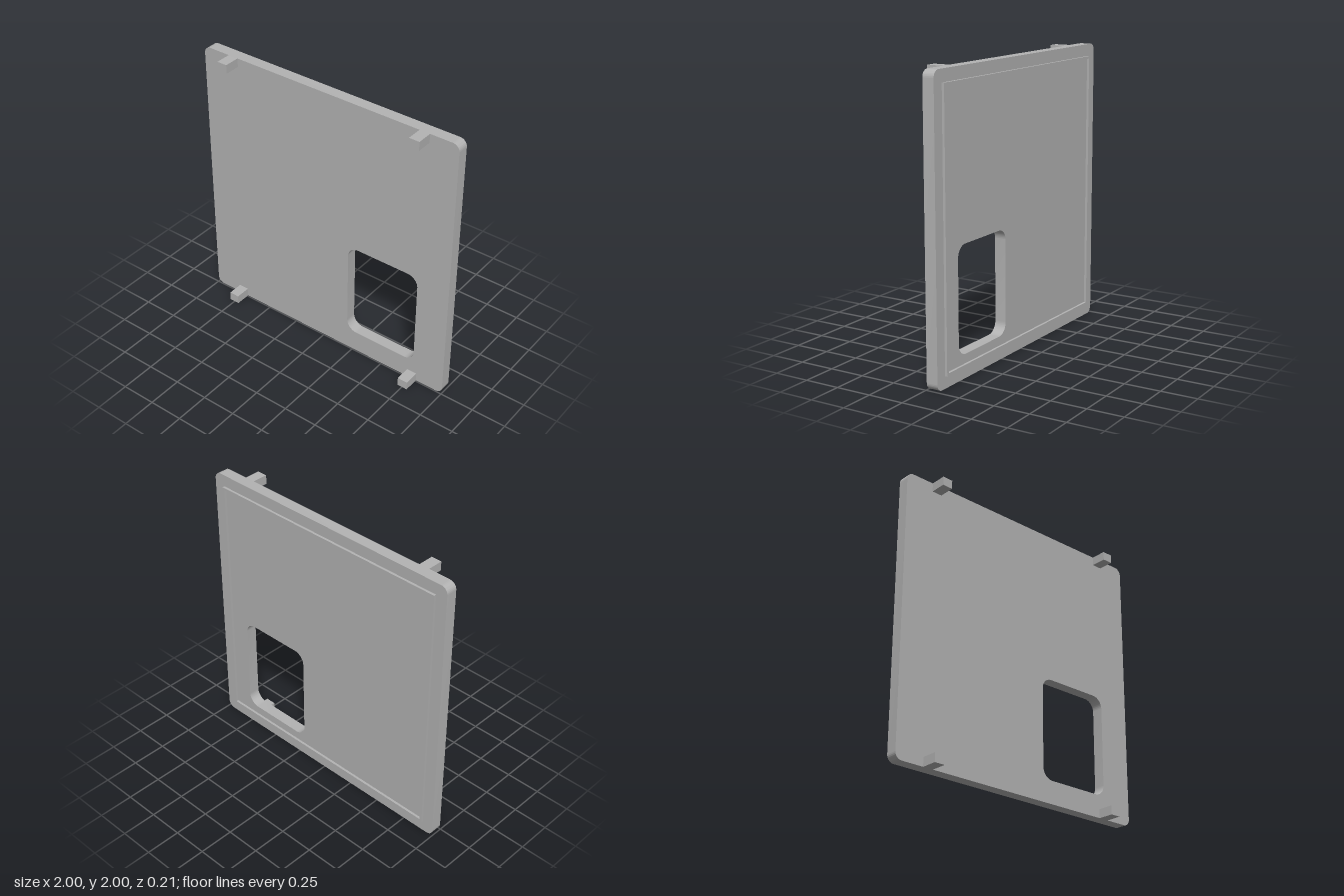
import * as THREE from 'three';
import { toCreasedNormals } from 'three/addons/utils/BufferGeometryUtils.js';

const BACK = -0.088, FRONT = -0.007, DEPTH = 0.105;

// Closed rectangle with rounded corners (r = 0 gives square corners)
function roundedRect(path, x0, y0, x1, y1, r) {
  if (r === 0) {
    path.moveTo(x0, y0).lineTo(x1, y0).lineTo(x1, y1).lineTo(x0, y1);
  } else {
    path.moveTo(x0 + r, y0);
    path.absarc(x1 - r, y0 + r, r, -Math.PI / 2, 0);
    path.absarc(x1 - r, y1 - r, r, 0, Math.PI / 2);
    path.absarc(x0 + r, y1 - r, r, Math.PI / 2, Math.PI);
    path.absarc(x0 + r, y0 + r, r, Math.PI, Math.PI * 1.5);
  }
  path.closePath();
  return path;
}

// Extruded outline with one hole, spanning z0 to z1
function frame(outer, hole, z0, z1) {
  const shape = roundedRect(new THREE.Shape(), ...outer);
  shape.holes.push(roundedRect(new THREE.Path(), ...hole));
  const geometry = new THREE.ExtrudeGeometry(shape, { depth: z1 - z0, bevelEnabled: false, curveSegments: 12 });
  return toCreasedNormals(geometry.translate(0, 0, z0), 0.6);
}

export function createModel() {
  const model = new THREE.Group();
  const grey = new THREE.MeshStandardMaterial({ color: 0xb3b3b3 });
  grey.name = 'grey';

  const add = (name, geometry) => {
    const mesh = new THREE.Mesh(geometry, grey);
    mesh.name = name;
    model.add(mesh);
    return mesh;
  };

  // Main plate with rounded window
  add('panel', frame([-1, 0, 1, 2, 0.05], [0.2, 0.162, 0.76, 0.884, 0.08], BACK, FRONT));

  // Thin raised rim on the back
  const o = 0.917, i = 0.9;
  add('backRim', frame([-o, 1 - o, o, 1 + o, 0], [-i, 1 - i, i, 1 + i, 0], -DEPTH, BACK));

  // Four square pegs on the front
  const pegHeight = 0.063, pegLength = DEPTH - FRONT;
  for (const side of [1, -1]) {
    for (const [level, y] of [['upper', 2 - pegHeight / 2], ['lower', pegHeight / 2]]) {
      const peg = add(level + (side > 0 ? 'LeftPeg' : 'RightPeg'), new THREE.BoxGeometry(0.075, pegHeight, pegLength));
      peg.position.set(side * 0.752, y, FRONT + pegLength / 2);
    }
  }
  return model;
}
